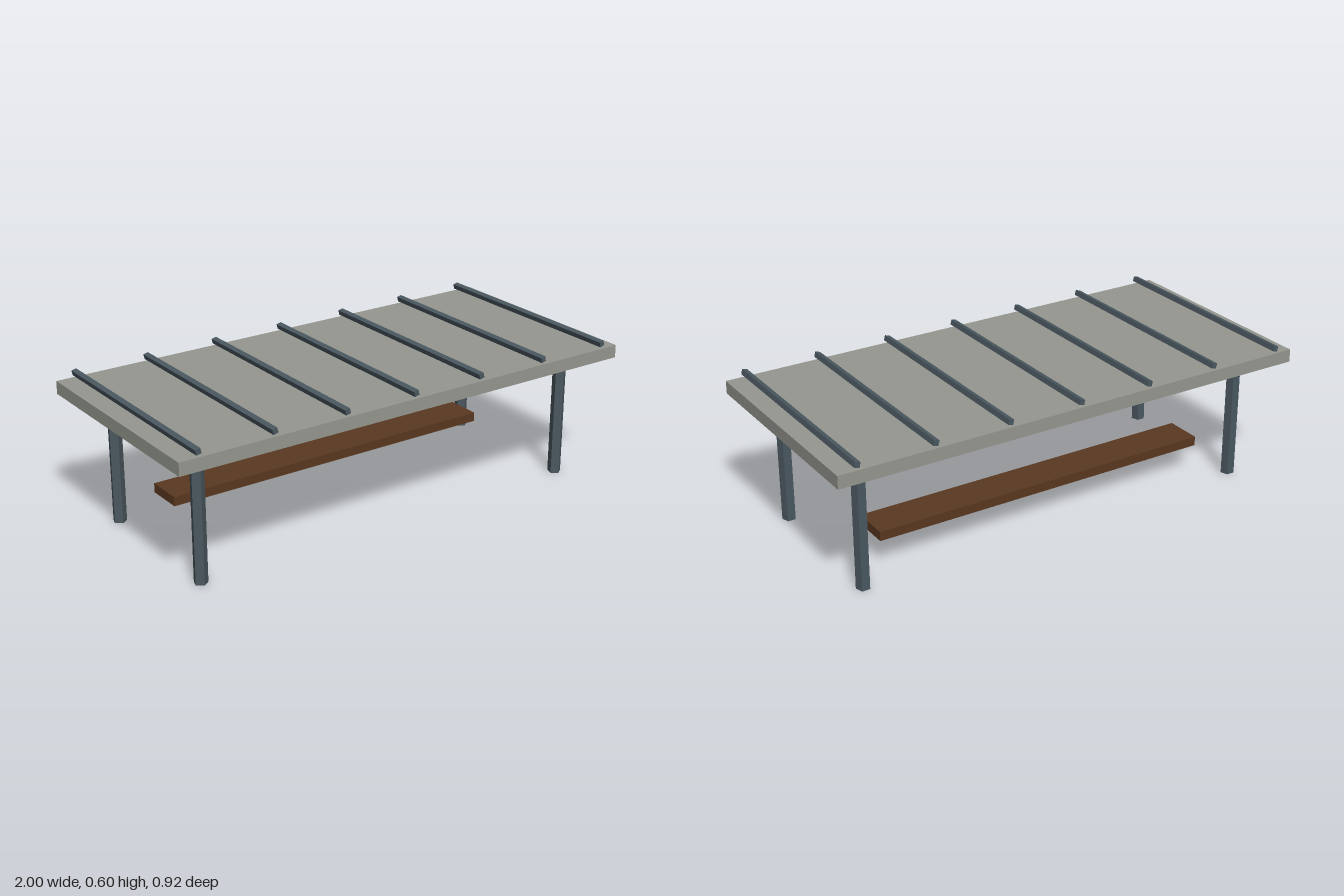
import * as THREE from 'three';

const roofMat = new THREE.MeshStandardMaterial({ color: 0x95978f });
const steelMat = new THREE.MeshStandardMaterial({ color: 0x4a5860, flatShading: true });
const woodMat = new THREE.MeshStandardMaterial({ color: 0x5a3820 });

export function createModel() {
  const model = new THREE.Group();
  model.name = 'shelter';

  const add = (name, geometry, material, x, y, z) => {
    const mesh = new THREE.Mesh(geometry, material);
    mesh.name = name;
    mesh.position.set(x, y, z);
    model.add(mesh);
    return mesh;
  };

  // Flat roof slab
  const roofBottom = 0.514, roofTop = 0.566, depth = 0.923;
  add('roof', new THREE.BoxGeometry(2, roofTop - roofBottom, depth), roofMat,
    0, (roofTop + roofBottom) / 2, 0);

  // Five-sided corner posts
  const postGeometry = new THREE.CylinderGeometry(0.0277, 0.0277, roofBottom, 5);
  for (const x of [-0.846, 0.846]) {
    for (const z of [-0.308, 0.308]) {
      add('post', postGeometry, steelMat, x, roofBottom / 2, z);
    }
  }

  // Slightly twisted square ribs running front to back above the roof
  const ribGeometry = new THREE.BoxGeometry(0.0208, 0.0208, depth);
  for (let i = -3; i <= 3; i++) {
    add('roofRib', ribGeometry, steelMat, i * 0.3077, 0.5865, 0).rotation.z = 0.245;
  }

  // Bench plank towards the back
  add('bench', new THREE.BoxGeometry(1.46, 0.038, 0.154), woodMat, 0, 0.139, -0.154);

  return model;
}
